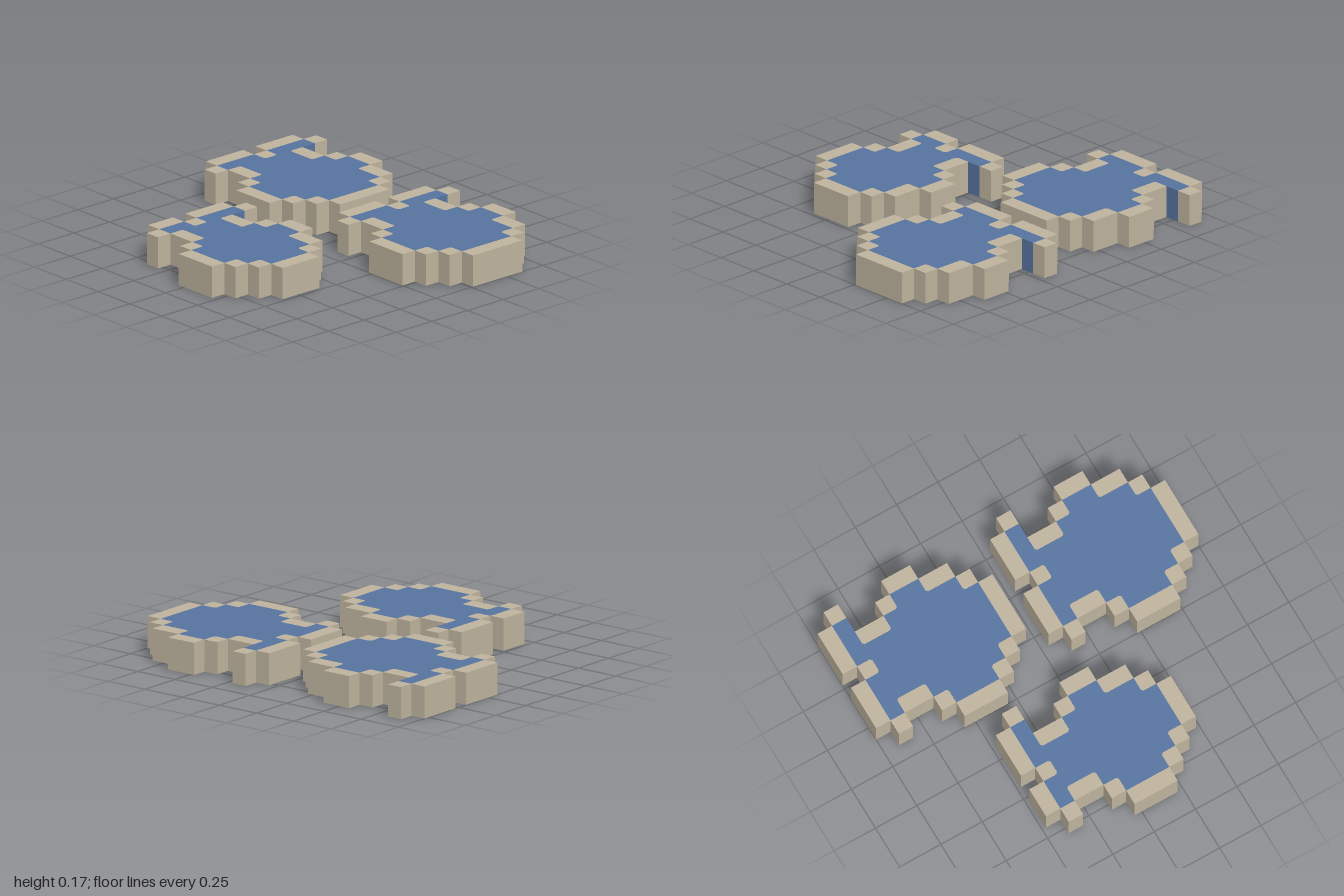
import * as THREE from 'three';

const CELL = 2 / 23;      // plan grid size
const HEIGHT = 2 * CELL;
const CUT = 0.12;         // small corner cut where rim meets water, in cells

// Plan of each pond: S = stone rim, W = water, rows run from back to front
const wideTail = ['..SSS.SSS.', '.SWWWSWWWS', '..SWWWWS..', '..SWWWWS..'];
const wideBody = ['.SWWWWWWS.', 'SWWWWWWWWS', 'SWWWWWWWWS', 'SWWWWWWWS.', '.SWWWWWWS.', '..SWWWWS..', '...SSSS...'];
const narrowTail = ['..SS.SSS.', '.SWWSWWWS', '..SWWWS..', '..SWWWS..'];
const narrowBody = ['.SWWWWWS.', 'SWWWWWWWS', 'SWWWWWWWS', 'SWWWWWWS.', '.SWWWWWS.', '..SWWWS..', '...SSS...'];
const WIDE = [...wideTail, ...wideBody];
const NARROW = [...narrowTail, ...narrowBody];

const DIRS = [[1, 0], [0, 1], [-1, 0], [0, -1]];

// Trace the outlines of all cells of one kind, cutting the rim's inner corners
function outlines(plan, kind) {
  const at = (c, r) => plan[r]?.[c] ?? '.';
  const edges = new Set();
  plan.forEach((row, r) => [...row].forEach((ch, c) => {
    if (ch !== kind) return;
    if (at(c, r - 1) !== kind) edges.add(`${c},${r},0`);
    if (at(c + 1, r) !== kind) edges.add(`${c + 1},${r},1`);
    if (at(c, r + 1) !== kind) edges.add(`${c + 1},${r + 1},2`);
    if (at(c - 1, r) !== kind) edges.add(`${c},${r + 1},3`);
  }));
  const isCut = (c, r) => {
    const around = at(c - 1, r - 1) + at(c, r - 1) + at(c - 1, r) + at(c, r);
    return [...around].sort().join('') === 'SWWW';
  };
  const shapes = [];
  while (edges.size) {
    let [c, r, d] = [...edges][0].split(',').map(Number);
    const points = [];
    const add = (x, z) => points.push(new THREE.Vector2(x * CELL, -z * CELL));
    while (edges.delete(`${c},${r},${d}`)) {
      c += DIRS[d][0];
      r += DIRS[d][1];
      const start = [...points];
      // Turning inward first keeps blocks that only touch at a corner apart
      const turn = [1, 0, 3].map((t) => (d + t) % 4).find((n) => edges.has(`${c},${r},${n}`));
      const next = turn ?? (d + 1) % 4;
      if (next !== d || !start.length) {
        if (next !== d && isCut(c, r)) {
          add(c - DIRS[d][0] * CUT, r - DIRS[d][1] * CUT);
          add(c + DIRS[next][0] * CUT, r + DIRS[next][1] * CUT);
        } else add(c, r);
      }
      d = next;
    }
    shapes.push(new THREE.Shape(points));
  }
  return shapes;
}

function slab(plan, kind, material, name) {
  const geometry = new THREE.ExtrudeGeometry(outlines(plan, kind), { depth: HEIGHT, bevelEnabled: false });
  geometry.rotateX(-Math.PI / 2);
  const mesh = new THREE.Mesh(geometry, material);
  mesh.name = name;
  return mesh;
}

export function createModel() {
  const stone = new THREE.MeshStandardMaterial({ color: 0xbdb29c });
  stone.name = 'stone';
  const water = new THREE.MeshStandardMaterial({ color: 0x56749f });
  water.name = 'water blue';

  const model = new THREE.Group();
  model.name = 'fishShapedPonds';

  // Name, plan, left column and back row
  const ponds = [
    ['backPond', WIDE, 0, -11.5],
    ['frontPond', WIDE, 0, 0.5],
    ['sidePond', NARROW, -10, -5.5],
  ];
  for (const [name, plan, column, row] of ponds) {
    const pond = new THREE.Group();
    pond.name = name;
    pond.add(slab(plan, 'S', stone, 'rim'), slab(plan, 'W', water, 'basin'));
    pond.position.set(column * CELL, 0, row * CELL);
    model.add(pond);
  }
  return model;
}
